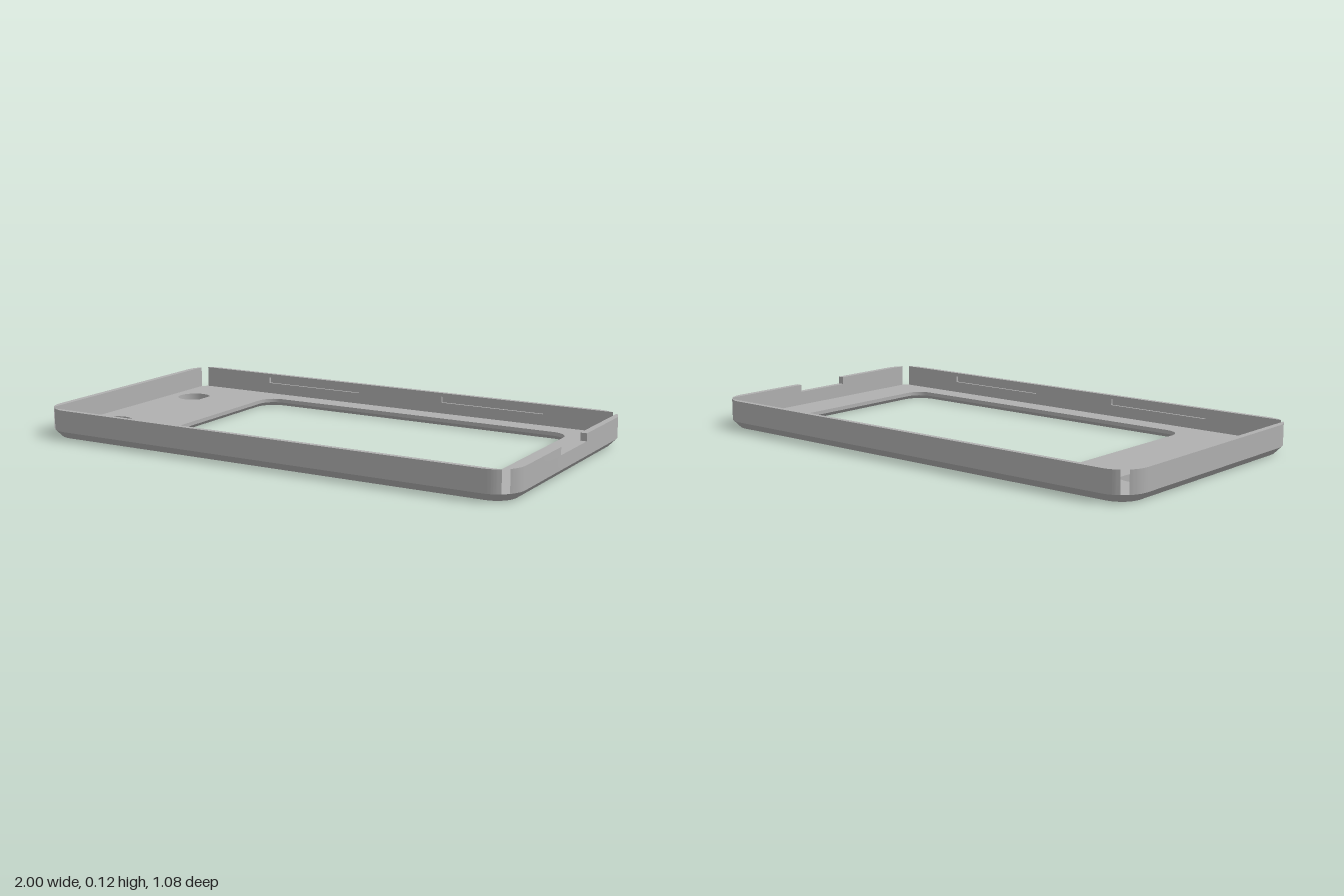
import * as THREE from 'three';
import { mergeGeometries, toCreasedNormals } from 'three/addons/utils/BufferGeometryUtils.js';

const HX = 1, HZ = 0.54, R = 0.11;          // outer outline and corner radius
const IX = 0.975, IZ = 0.52;                // square-cornered inner cavity
const FLOOR = 0.03, TOP = 0.115;
const CX = HX - R, CZ = HZ - R;             // corner arc centres

// Plan loops are counter-clockwise in (x, y), where y stands for -z
function roundedLoop(cx, cy, hx, hy, r) {
  const pts = [];
  const corners = [[1, 1], [-1, 1], [-1, -1], [1, -1]];
  corners.forEach(([sx, sy], q) => {
    for (let i = 0; i <= 8; i++) {
      const a = (q + i / 8) * Math.PI / 2;
      pts.push(new THREE.Vector2(
        cx + sx * (hx - r) + r * Math.cos(a), cy + sy * (hy - r) + r * Math.sin(a)));
    }
  });
  return pts;
}

function arcPoints(cx, cy, r, a0, a1, n) {
  return Array.from({ length: n + 1 }, (_, i) => {
    const a = a0 + (a1 - a0) * i / n;
    return new THREE.Vector2(cx + r * Math.cos(a), cy + r * Math.sin(a));
  });
}

// Band of faces between two matching loops; inward = true for hole walls
function band(lo, y0, hi, y1, inward = false) {
  const pos = [];
  const n = lo.length;
  for (let i = 0; i < n; i++) {
    const j = (i + 1) % n;
    const a = [lo[i].x, y0, -lo[i].y], b = [lo[j].x, y0, -lo[j].y];
    const c = [hi[j].x, y1, -hi[j].y], d = [hi[i].x, y1, -hi[i].y];
    if (inward) pos.push(...a, ...c, ...b, ...a, ...d, ...c);
    else pos.push(...a, ...b, ...c, ...a, ...c, ...d);
  }
  return new THREE.BufferGeometry().setAttribute('position', new THREE.Float32BufferAttribute(pos, 3));
}

// Flat face with holes at one height
function cap(loop, holes, y, down = false) {
  const shape = new THREE.Shape(loop);
  shape.holes = holes.map(h => new THREE.Path(h));
  const g = new THREE.ShapeGeometry(shape);
  if (down) g.setIndex(Array.from(g.index.array).reverse());
  g.rotateX(-Math.PI / 2).translate(0, y, 0);
  g.deleteAttribute('uv');
  g.deleteAttribute('normal');
  return g.toNonIndexed();
}

function slab(shape, y0, y1) {
  const g = new THREE.ExtrudeGeometry(shape, { depth: y1 - y0, bevelEnabled: false, curveSegments: 8 });
  return g.rotateX(-Math.PI / 2).translate(0, y0, 0);
}

function buildFloor() {
  const outer = roundedLoop(0, 0, HX, HZ, R);
  const base = roundedLoop(0, 0, HX - 0.03, HZ - 0.03, R - 0.03);
  const win = roundedLoop(0.12, 0, 0.695, 0.432, 0.07);
  const winWide = roundedLoop(0.12, 0, 0.71, 0.447, 0.085);
  // button holes with one flat side
  const flat = Math.acos(0.055 / 0.068);
  const buttons = [0.285, -0.26].map(y => arcPoints(-0.865, y, 0.068, flat, 2 * Math.PI - flat, 28));
  // shallow marks on the underside: three bars and an open ring
  const marks = [-0.03, 0, 0.03].map(dx => roundedLoop(-0.865 + dx, -0.115, 0.007, 0.05, 0.003));
  marks.push([
    ...arcPoints(-0.865, 0.14, 0.042, 0.7, 5.6, 16),
    ...arcPoints(-0.865, 0.14, 0.028, 5.6, 0.7, 16)]);

  const parts = [
    band(base, 0, outer, FLOOR),
    cap(outer, [win, ...buttons], FLOOR),
    cap(base, [winWide, ...buttons, ...marks], 0, true),
    band(winWide, 0, win, 0.015, true),
    band(win, 0.015, win, FLOOR, true),
    ...buttons.map(b => band(b, 0, b, FLOOR, true)),
    ...marks.flatMap(m => [band(m, 0, m, 0.008, true), cap(m, [], 0.008, true)]),
  ];
  return toCreasedNormals(mergeGeometries(parts), 0.5);
}

// Long wall, optionally with snap grooves cut in its inner face
function longWallShape(grooves) {
  const b = Math.asin((IZ - CZ) / R);
  const s = new THREE.Shape();
  s.absarc(CX, CZ, R, b, Math.PI / 2, false);
  s.absarc(-CX, CZ, R, Math.PI / 2, Math.PI - b, false);
  for (const x of [...grooves].sort((p, q) => p - q)) {
    s.lineTo(x - 0.225, IZ);
    s.lineTo(x - 0.225, IZ + 0.01);
    s.lineTo(x + 0.225, IZ + 0.01);
    s.lineTo(x + 0.225, IZ);
  }
  return s;
}

function longWall(grooves) {
  return mergeGeometries([
    slab(longWallShape([]), FLOOR, 0.075),
    slab(longWallShape(grooves), 0.075, 0.1),
    slab(longWallShape([]), 0.1, TOP),
  ]);
}

// Half of an end wall, from plan position start out to the corner
function endWallHalf(side, start) {
  const a = Math.acos((IX - CX) / R);
  const s = new THREE.Shape();
  s.moveTo(IX, side * start);
  s.lineTo(HX, side * start);
  s.absarc(CX, side * CZ, R, 0, side * a, side < 0);
  return s;
}

function endWall(notch) {
  const parts = [];
  for (const side of [-1, 1]) {
    parts.push(slab(endWallHalf(side, 0), FLOOR, 0.085));
    parts.push(slab(endWallHalf(side, notch), 0.085, TOP));
  }
  return mergeGeometries(parts);
}

export function createModel() {
  const group = new THREE.Group();
  const grey = new THREE.MeshStandardMaterial({ color: 0xb0b0b0 });
  grey.name = 'grey plastic';

  const add = (name, geometry, turn = 0) => {
    const mesh = new THREE.Mesh(geometry, grey);
    mesh.name = name;
    mesh.rotation.y = turn;
    group.add(mesh);
  };

  add('floorPlate', buildFloor());
  add('backWall', toCreasedNormals(longWall([-0.4, 0.44]), 0.5));
  add('frontWall', toCreasedNormals(longWall([0.4, -0.44]), 0.5), Math.PI);
  add('notchedEndWall', toCreasedNormals(endWall(0.123), 0.5));
  add('plainEndWall', toCreasedNormals(endWall(0), 0.5), Math.PI);
  return group;
}
